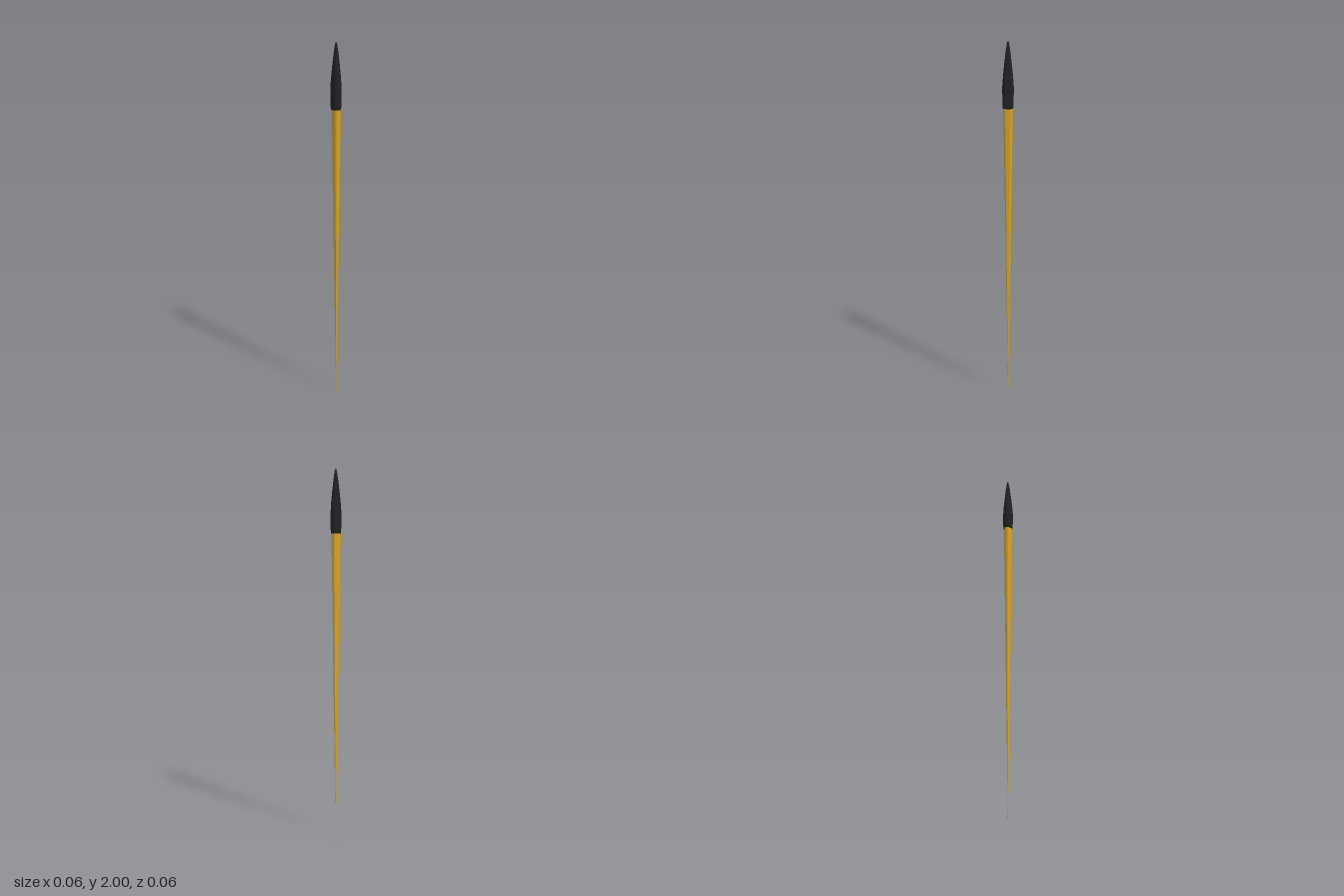
import * as THREE from 'three';

const AXIS_Z = 0.002;

// Triangular section with three-point rounded corners, one corner towards -z
function section(r) {
  const points = [];
  for (let corner = 0; corner < 3; corner++) {
    for (const [spread, k] of [[-26, 0.97], [0, 1], [26, 0.97]]) {
      const a = THREE.MathUtils.degToRad(-90 + corner * 120 + spread);
      points.push([Math.cos(a) * r * k, Math.sin(a) * r * k + AXIS_Z]);
    }
  }
  return points;
}

// Skins [y, radius] rings from bottom to top and closes both ends
function loft(rings) {
  const n = 9, positions = [], index = [];
  for (const [y, r] of rings) {
    for (const [x, z] of section(r)) positions.push(x, y, z);
  }
  for (let i = 0; i < rings.length - 1; i++) {
    for (let j = 0; j < n; j++) {
      const a = i * n + j, b = i * n + (j + 1) % n;
      index.push(a, a + n, b, b, a + n, b + n);
    }
  }
  const bottom = positions.length / 3, top = bottom + 1;
  const last = (rings.length - 1) * n;
  positions.push(0, rings[0][0], AXIS_Z, 0, rings[rings.length - 1][0], AXIS_Z);
  for (let j = 0; j < n; j++) {
    const k = (j + 1) % n;
    index.push(bottom, j, k, top, last + k, last + j);
  }
  const geometry = new THREE.BufferGeometry();
  geometry.setAttribute('position', new THREE.Float32BufferAttribute(positions, 3));
  geometry.setIndex(index);
  const flat = geometry.toNonIndexed();
  flat.computeVertexNormals();
  return flat;
}

function part(name, color, rings) {
  const material = new THREE.MeshStandardMaterial({ color, flatShading: true });
  const mesh = new THREE.Mesh(loft(rings), material);
  mesh.name = name;
  return mesh;
}

export function createModel() {
  const group = new THREE.Group();
  group.name = 'taperedBrush';

  // Long golden shaft narrowing to a point at the bottom
  group.add(part('shaft', 0xdaa520, [[0, 0.0003], [1.67, 0.0255]]));

  // Dark bullet-shaped head with a chamfered lower rim
  group.add(part('head', 0x222222, [
    [1.665, 0.027], [1.68, 0.0295], [1.77, 0.031], [1.83, 0.0265],
    [1.89, 0.02], [1.95, 0.0125], [1.99, 0.006], [2, 0.003],
  ]));
  return group;
}
